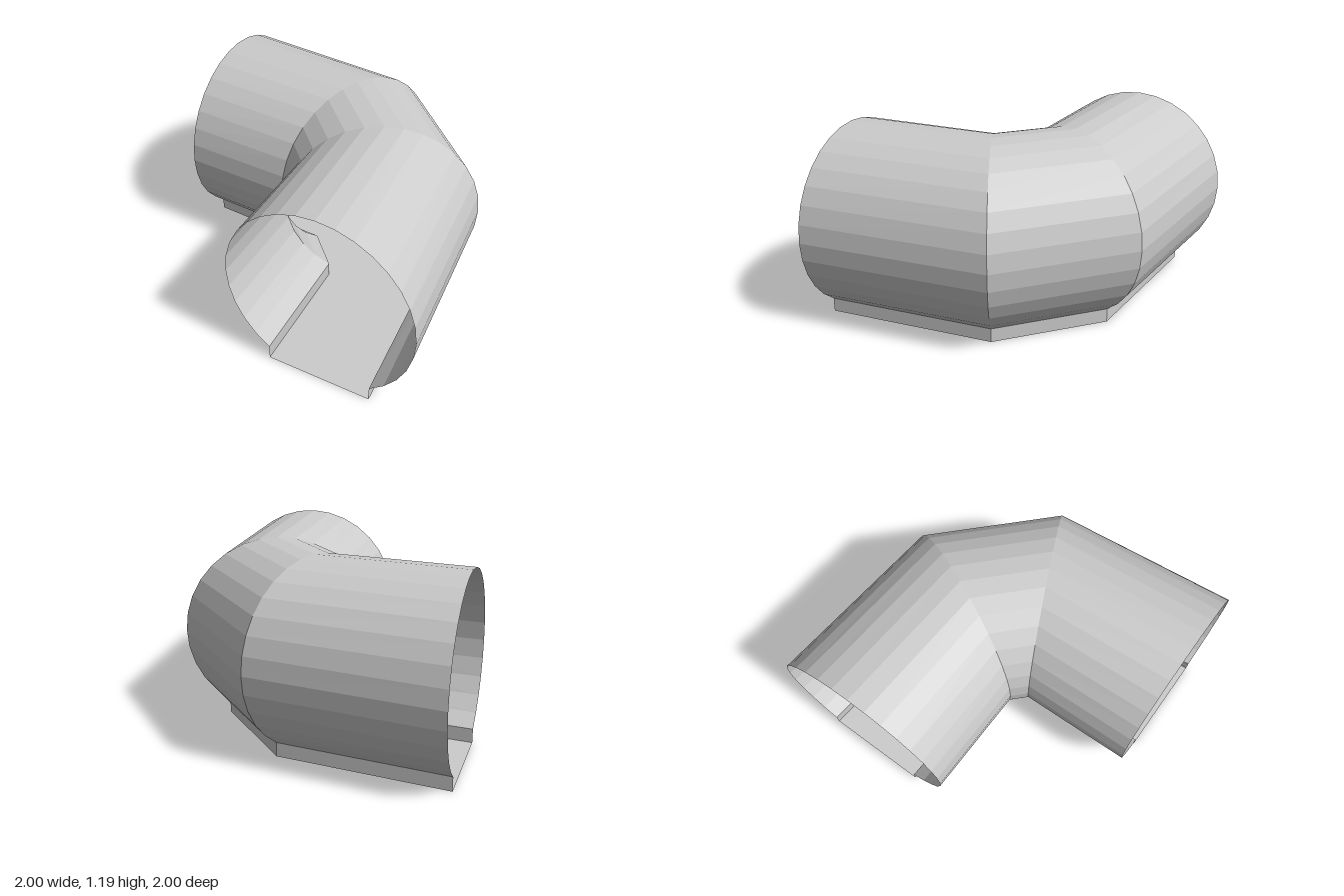
import * as THREE from 'three';

const R = 0.6;        // tube radius
const AXIS_Y = 0.59;  // height of the tube's axis
const STEP = Math.PI / 16;
const GAP = 5 * STEP; // the ring stops this far below the horizontal

// Stations along the bend: centre (x, z) and heading of the cross-section
const TURN = 0.43;
const stations = [
  { x: 0.4, z: 1, turn: 0 },
  { x: 0.325, z: 0.05, turn: TURN },
  { x: -0.05, z: -0.325, turn: Math.PI / 2 - TURN },
  { x: -1, z: -0.4, turn: Math.PI / 2 },
];

// Sweep an open profile of [across, height] points through the stations
function sweep(profile, name) {
  const positions = [];
  const point = (s, [across, y]) => [
    s.x + across * Math.cos(s.turn), y, s.z - across * Math.sin(s.turn),
  ];
  for (let s = 0; s < stations.length - 1; s++) {
    for (let i = 0; i < profile.length - 1; i++) {
      const a = point(stations[s], profile[i]);
      const b = point(stations[s], profile[i + 1]);
      const c = point(stations[s + 1], profile[i + 1]);
      const d = point(stations[s + 1], profile[i]);
      positions.push(...a, ...d, ...c, ...a, ...c, ...b);
    }
  }
  const geometry = new THREE.BufferGeometry();
  geometry.setAttribute('position', new THREE.Float32BufferAttribute(positions, 3));
  geometry.computeVertexNormals();
  const material = new THREE.MeshStandardMaterial({
    color: 0xcccccc, flatShading: true, side: THREE.DoubleSide,
  });
  const mesh = new THREE.Mesh(geometry, material);
  mesh.name = name;
  return mesh;
}

export function createModel() {
  const group = new THREE.Group();
  group.name = 'tunnelBend';

  // Round shell, open along the bottom
  const ring = [];
  for (let i = 0; i <= 26; i++) {
    const angle = -GAP + i * STEP;
    ring.push([R * Math.cos(angle), AXIS_Y + R * Math.sin(angle)]);
  }
  group.add(sweep(ring, 'tunnelShell'));

  // Shallow channel with a flat floor under the opening
  const [half, top] = ring[0];
  group.add(sweep([[-half, top], [-half, 0], [half, 0], [half, top]], 'floorChannel'));

  return group;
}
